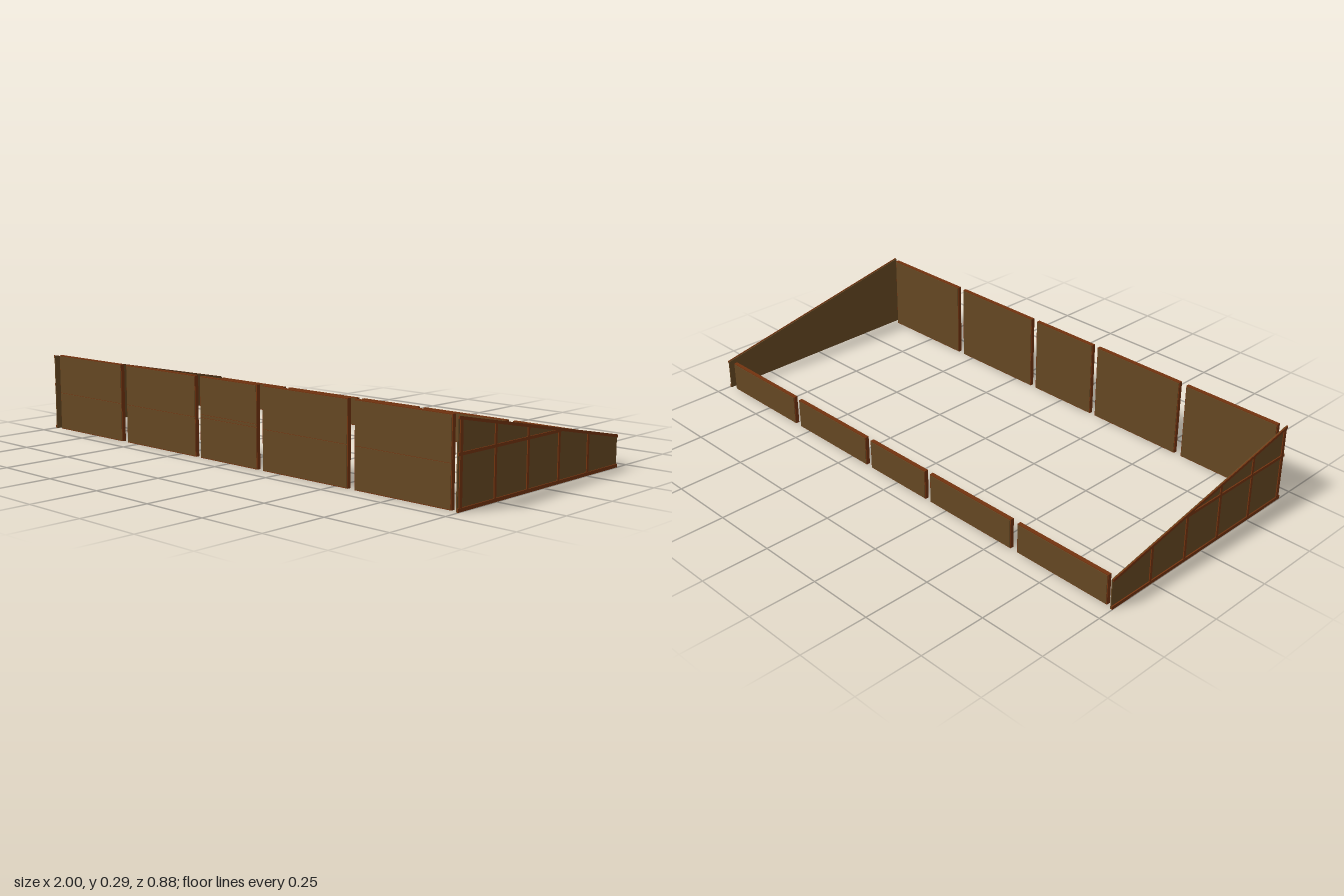
import * as THREE from 'three';

export function createModel() {
  const group = new THREE.Group();
  const board = new THREE.MeshStandardMaterial({ color: 0x664823 });
  board.name = 'plywood brown';
  const timber = new THREE.MeshStandardMaterial({ color: 0x73330f });
  timber.name = 'red brown timber';

  function box(parent, name, mat, w, h, d, x, y, z) {
    const m = new THREE.Mesh(new THREE.BoxGeometry(w, h, d), mat);
    m.name = name;
    m.position.set(x, y, z);
    parent.add(m);
    return m;
  }

  // Front and back walls: five boarded frames each
  const spans = [[-0.972, -0.587], [-0.557, -0.171], [-0.146, 0.141], [0.168, 0.554], [0.583, 0.969]];
  function wallPanel(name, x0, x1, height, z, seams) {
    const panel = new THREE.Group();
    panel.name = name;
    const w = x1 - x0, x = (x0 + x1) / 2, rim = 0.003;
    box(panel, 'panelFrame', timber, w, height, 0.014, x, height / 2, z);
    box(panel, 'innerSheet', board, w - 2 * rim, height - 2 * rim, 0.002, x, height / 2, z - Math.sign(z) * 0.008);
    // outer sheets, parted by narrow seams
    const levels = [rim, ...seams, height - rim];
    for (let i = 0; i + 1 < levels.length; i++) {
      const a = levels[i] + (i > 0 ? 0.001 : 0);
      const b = levels[i + 1] - (i + 2 < levels.length ? 0.001 : 0);
      box(panel, 'outerSheet', board, w - 2 * rim, b - a, 0.002, x, (a + b) / 2, z + Math.sign(z) * 0.008);
    }
    group.add(panel);
  }
  spans.forEach(([a, b], i) => {
    wallPanel('frontPanel', a, b, 0.291, 0.426, i === 2 ? [0.145, 0.156] : [0.143]);
    wallPanel('backPanel', a, b, 0.112, -0.426, []);
  });

  // Sloping side walls: sheet inside, battens outside
  const zF = 0.441, zB = -0.441, yF = 0.288, yB = 0.112;
  const topAt = z => yB + (yF - yB) * (z - zB) / (zF - zB);
  const outline = new THREE.Shape([[-zF, 0], [-zB, 0], [-zB, yB], [-zF, yF]].map(p => new THREE.Vector2(...p)));
  for (const s of [1, -1]) {
    const side = new THREE.Group();
    side.name = s > 0 ? 'leftSide' : 'rightSide';
    const geo = new THREE.ExtrudeGeometry(outline, { depth: 0.004, bevelEnabled: false });
    geo.rotateY(Math.PI / 2);
    const sheet = new THREE.Mesh(geo, board);
    sheet.name = 'sideSheet';
    sheet.position.x = s > 0 ? 0.992 : -0.996;
    side.add(sheet);

    const x = s * 0.998, t = 0.004;
    box(side, 'bottomRail', timber, t, 0.012, zF - zB, x, 0.006, 0);
    box(side, 'middleRail', timber, t, 0.01, 0.535, x, 0.175, 0.1735);
    const topRail = box(side, 'topRail', timber, t, 0.01, Math.hypot(zF - zB, yF - yB), x, (yF + yB) / 2 - 0.003, 0);
    topRail.rotation.x = -Math.atan2(yF - yB, zF - zB);
    for (const z of [0.428, 0.257, 0.086, -0.086, -0.257]) {
      const h = topAt(z) - 0.004;
      box(side, 'post', timber, t - 0.0004, h, z > 0.4 ? 0.013 : 0.01, x - s * 0.0002, h / 2, z);
    }
    group.add(side);
  }
  return group;
}
